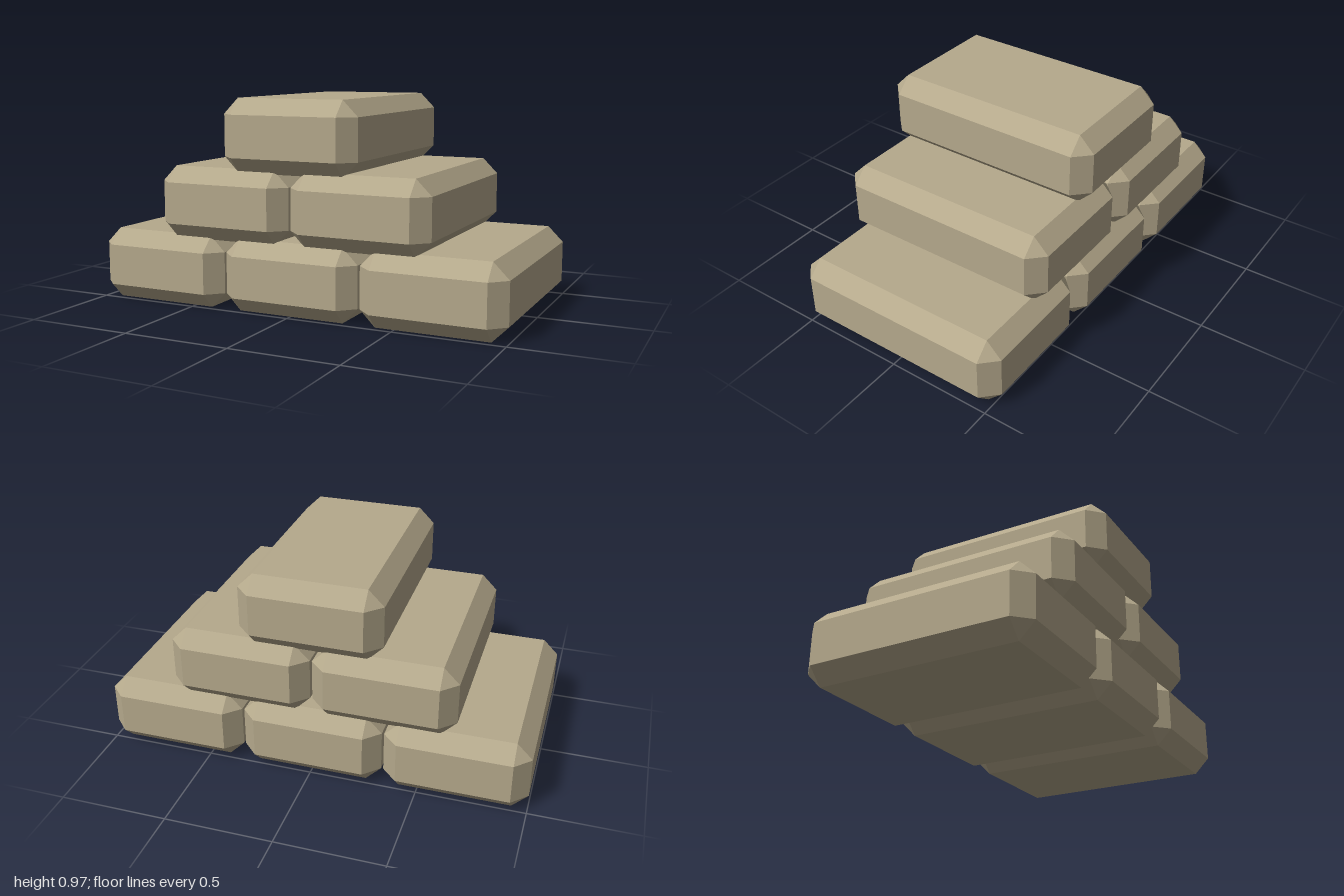
import * as THREE from 'three';
import { ConvexGeometry } from 'three/addons/geometries/ConvexGeometry.js';

// Box with every edge and corner cut off at 45 degrees
function chamferedBox(hx, hy, hz, c) {
  const points = [];
  for (const x of [-1, 1]) for (const y of [-1, 1]) for (const z of [-1, 1]) {
    points.push(
      new THREE.Vector3(x * hx, y * (hy - c), z * (hz - c)),
      new THREE.Vector3(x * (hx - c), y * hy, z * (hz - c)),
      new THREE.Vector3(x * (hx - c), y * (hy - c), z * hz)
    );
  }
  return new ConvexGeometry(points);
}

export function createModel() {
  const group = new THREE.Group();
  group.name = 'sandbagStack';
  const material = new THREE.MeshStandardMaterial({ color: 0xb5a98c, flatShading: true });
  const geometry = chamferedBox(0.33, 0.168, 0.538, 0.072);

  // Pyramid of three, two and one bags, each row sunk slightly into the one below
  const spacing = 0.67, rowStep = 0.318;
  for (let row = 0; row < 3; row++) {
    const count = 3 - row;
    for (let i = 0; i < count; i++) {
      const bag = new THREE.Mesh(geometry, material);
      bag.name = `sandbagRow${row + 1}Number${i + 1}`;
      bag.position.set((i - (count - 1) / 2) * spacing, 0.168 + row * rowStep, 0);
      group.add(bag);
    }
  }
  return group;
}
